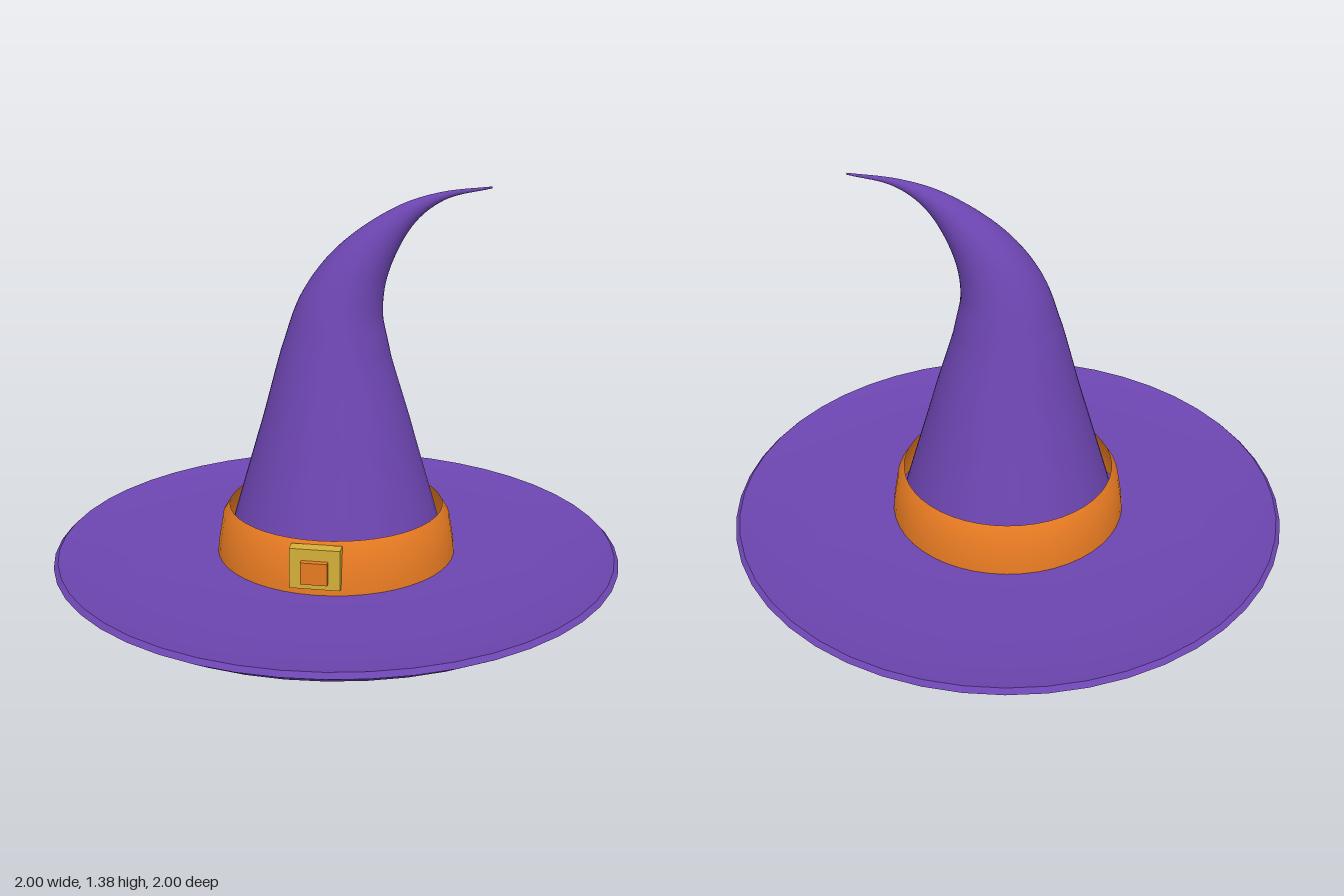
import * as THREE from 'three';
import { toCreasedNormals } from 'three/addons/utils/BufferGeometryUtils.js';

const SEGMENTS = 48;

const material = (color, side = THREE.FrontSide) => new THREE.MeshStandardMaterial({ color, side });

function lathe(points) {
  const profile = points.map(([r, y]) => new THREE.Vector2(r, y));
  return toCreasedNormals(new THREE.LatheGeometry(profile, SEGMENTS), 0.6);
}

// Round tube that follows a spine in the xy plane; each key is [x, y, radius]
function taperedHorn(keys, rings) {
  const curve = new THREE.CatmullRomCurve3(keys.map((k) => new THREE.Vector3(...k)), false, 'centripetal');
  const positions = [];
  const indices = [];
  const row = SEGMENTS + 1;
  for (let i = 0; i <= rings; i++) {
    const { x, y, z: radius } = curve.getPoint(i / rings);
    const t = curve.getTangent(i / rings).setZ(0).normalize();
    for (let j = 0; j <= SEGMENTS; j++) {
      const a = (j / SEGMENTS) * Math.PI * 2;
      const across = Math.cos(a) * radius;
      positions.push(x + t.y * across, y - t.x * across, Math.sin(a) * radius);
      if (i < rings && j < SEGMENTS) {
        const p = i * row + j;
        indices.push(p, p + row, p + 1, p + 1, p + row, p + row + 1);
      }
    }
  }
  const geometry = new THREE.BufferGeometry();
  geometry.setAttribute('position', new THREE.Float32BufferAttribute(positions, 3));
  geometry.setIndex(indices);
  geometry.computeVertexNormals();
  // Join the shading across the seam
  const normals = geometry.attributes.normal;
  const n = new THREE.Vector3();
  const m = new THREE.Vector3();
  for (let i = 0; i <= rings; i++) {
    const a = i * row;
    const b = a + SEGMENTS;
    n.fromBufferAttribute(normals, a).add(m.fromBufferAttribute(normals, b)).normalize();
    normals.setXYZ(a, n.x, n.y, n.z);
    normals.setXYZ(b, n.x, n.y, n.z);
  }
  return geometry;
}

export function createModel() {
  const hat = new THREE.Group();
  hat.name = 'pointedHat';
  const purple = material(0x6c45b0, THREE.DoubleSide);
  const orange = material(0xe67a22, THREE.DoubleSide);
  const gold = material(0xd4af37);

  function add(name, geometry, mat, x = 0, y = 0, z = 0) {
    const mesh = new THREE.Mesh(geometry, mat);
    mesh.name = name;
    mesh.position.set(x, y, z);
    hat.add(mesh);
  }

  // Shallow dished brim with a hole for the head
  add('brim', lathe([
    [0.36, 0], [0.72, 0], [0.92, 0.035], [1, 0.085], [0.985, 0.1],
    [0.9, 0.083], [0.72, 0.075], [0.36, 0.075], [0.36, 0],
  ]), purple);

  // Straight cone that curls over to its left at the tip
  add('crown', taperedHorn([
    [0, 0.075, 0.4], [0, 0.25, 0.35], [0, 0.5, 0.277], [0, 0.8, 0.191],
    [0.02, 0.96, 0.148], [0.09, 1.115, 0.1], [0.232, 1.275, 0.042],
    [0.36, 1.345, 0.014], [0.52, 1.376, 0.003],
  ], 64), purple);

  // Open band standing slightly off the crown
  add('band', lathe([[0.425, 0.075], [0.422, 0.11], [0.405, 0.21], [0.38, 0.25]]), orange);

  // Buckle plate with a raised centre
  add('bucklePlate', new THREE.BoxGeometry(0.17, 0.14, 0.045), gold, 0, 0.17, 0.412);
  add('buckleCentre', new THREE.BoxGeometry(0.09, 0.076, 0.06), orange, 0, 0.162, 0.425);
  return hat;
}
